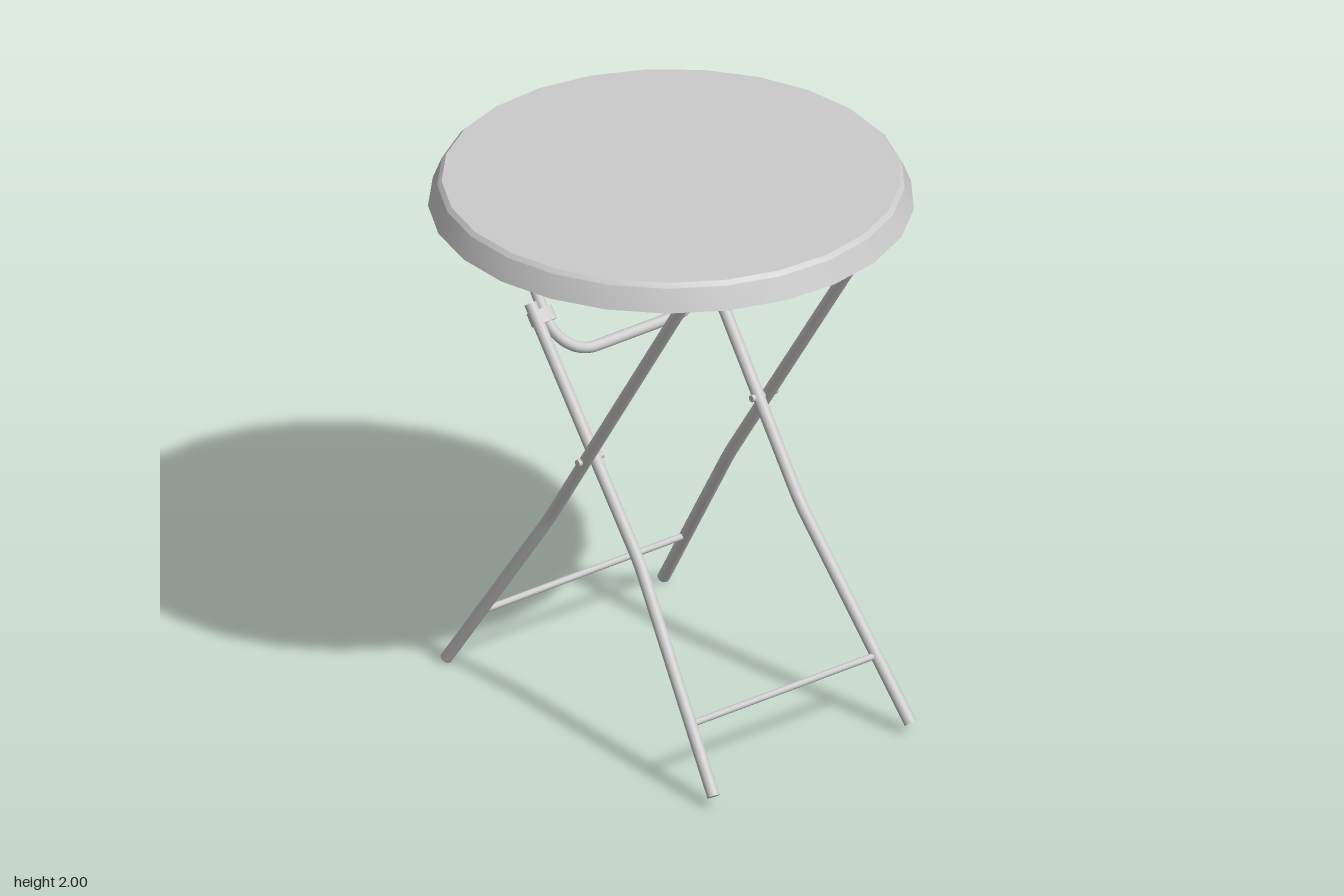
import * as THREE from 'three';
import { mergeGeometries, toCreasedNormals } from 'three/addons/utils/BufferGeometryUtils.js';

const material = new THREE.MeshStandardMaterial({ color: 0xcccccc });
const V = (x, y, z) => new THREE.Vector3(x, y, z);

function addMesh(parent, name, geometry) {
  const mesh = new THREE.Mesh(geometry, material);
  mesh.name = name;
  parent.add(mesh);
  return mesh;
}

// Path of straight runs, each inner corner rounded off over the given distance
function roundedPath(points, round) {
  const path = new THREE.CurvePath();
  let from = points[0];
  for (let i = 1; i < points.length - 1; i++) {
    const p = points[i];
    const toward = (q) => p.clone().add(q.clone().sub(p).setLength(round));
    const a = toward(points[i - 1]), b = toward(points[i + 1]);
    // control points at 0.55 of the corner give a nearly circular bend
    path.add(new THREE.LineCurve3(from, a));
    path.add(new THREE.CubicBezierCurve3(a, a.clone().lerp(p, 0.55), b.clone().lerp(p, 0.55), b));
    from = b;
  }
  path.add(new THREE.LineCurve3(from, points[points.length - 1]));
  return path;
}

// Round tube with closed ends
function cappedTube(points, radius, round = 0.04, segments = 48) {
  const path = roundedPath(points, round);
  const parts = [new THREE.TubeGeometry(path, segments, radius, 14, false)];
  for (const t of [0, 1]) {
    const dir = path.getTangentAt(t).multiplyScalar(t ? 1 : -1);
    const cap = new THREE.CircleGeometry(radius, 14);
    cap.applyQuaternion(new THREE.Quaternion().setFromUnitVectors(V(0, 0, 1), dir));
    const end = path.getPointAt(t);
    parts.push(cap.translate(end.x, end.y, end.z));
  }
  return mergeGeometries(parts);
}

// Side-view lines of the two crossing leg frames: z at a given height
const outerZ = (y) => -0.642 + (y - 0.015) * 0.6615;
const innerZ = (y) => 0.78 - (y - 0.04) * 0.753;
const hangerZ = (y) => -0.2 - (y - 1.31) * 0.705;

export function createModel() {
  const model = new THREE.Group();

  // Round top with sloping rim and small bevel
  const profile = [[0, 1.905], [0.84, 1.905], [0.808, 1.985], [0.793, 2], [0, 2]]
    .map(([r, y]) => new THREE.Vector2(r, y));
  const top = new THREE.LatheGeometry(profile, 25, Math.PI / 2);
  addMesh(model, 'tableTop', toCreasedNormals(top, 0.4));

  for (const s of [1, -1]) {
    const side = s > 0 ? 'left' : 'right';

    // Legs, splayed outward below the bend
    const leg = (line, pts) => cappedTube(pts.map(([x, y]) => V(s * x, y, line(y))), 0.022);
    addMesh(model, side + 'OuterLeg', leg(outerZ, [[0.415, 1.915], [0.4, 0.72], [0.48, 0.015]]));
    addMesh(model, side + 'InnerLeg', leg(innerZ, [[0.37, 1.495], [0.355, 0.72], [0.435, 0.043]]));

    // Pivot pin where the legs cross
    const pin = new THREE.CylinderGeometry(0.013, 0.013, 0.11, 12).rotateZ(Math.PI / 2);
    addMesh(model, side + 'PivotPin', pin).position.set(s * 0.384, 1.035, innerZ(1.035));

    // Clamp joining the inner leg to the hanger bar
    const w = 0.022, r = 0.028;
    const outline = new THREE.Shape();
    outline.absarc(w, 0, r, -Math.PI / 2, Math.PI / 2);
    outline.absarc(-w, 0, r, Math.PI / 2, Math.PI * 1.5);
    const clampGeo = new THREE.ExtrudeGeometry(outline, { depth: 0.05, bevelEnabled: false, curveSegments: 10 });
    clampGeo.translate(0, 0, -0.025).rotateX(-Math.PI / 2);
    const clamp = addMesh(model, side + 'Clamp', toCreasedNormals(clampGeo, 0.6));
    clamp.position.set(s * 0.341, 1.447, (innerZ(1.447) + hangerZ(1.447)) / 2);
    clamp.rotation.x = -Math.atan(0.74);
  }

  // U-shaped hanger bar under the top
  const hanger = [[-0.322, 1.915], [-0.322, 1.312], [0.322, 1.312], [0.322, 1.915]]
    .map(([x, y]) => V(x, y, hangerZ(y)));
  addMesh(model, 'hangerBar', cappedTube(hanger, 0.02, 0.15, 110));

  // Thin crossbars near the feet
  for (const [name, line, x] of [['frontCrossbar', innerZ, 0.405], ['backCrossbar', outerZ, 0.45]]) {
    const bar = new THREE.CylinderGeometry(0.012, 0.012, 2 * x, 12).rotateZ(Math.PI / 2);
    addMesh(model, name, bar).position.set(0, 0.252, line(0.252));
  }

  return model;
}
